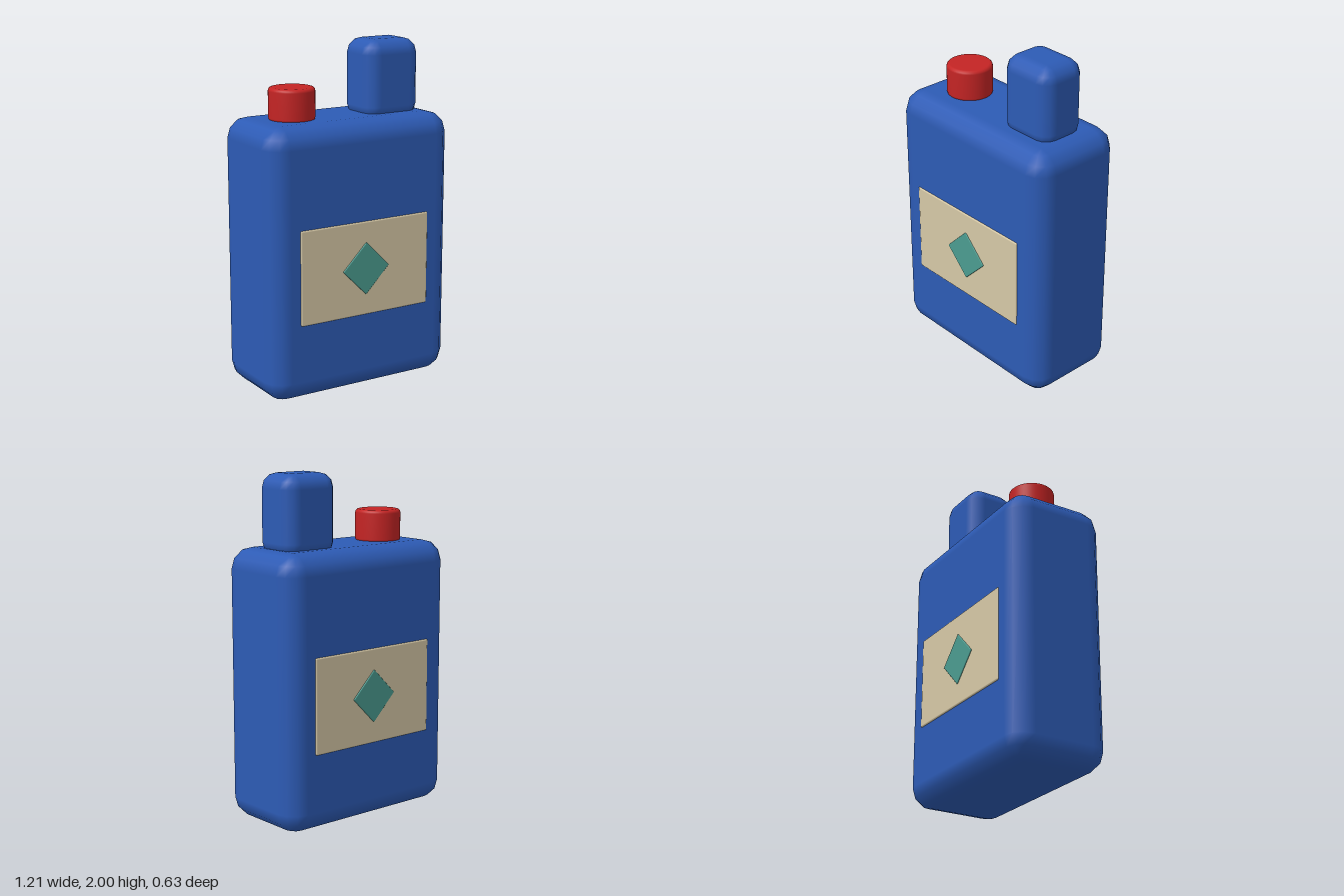
import * as THREE from 'three';

const mat = (name, color) => {
  const m = new THREE.MeshStandardMaterial({ color });
  m.name = name;
  return m;
};

// Smooth box with bevelled edges: eight sphere octants pushed out to the corners.
function bevelBox(w, h, d, r, seg = 3) {
  const n = seg + 1, cols = 4 * n, rows = 2 * n, quarter = Math.PI / 2;
  const pos = [], nor = [], idx = [];
  for (let j = 0; j < rows; j++) {
    const upper = j >= n;
    const lat = ((upper ? j - n : j - seg) / seg) * quarter;
    for (let i = 0; i < cols; i++) {
      const q = Math.floor(i / n);
      const a = (q + (i % n) / seg) * quarter;
      const mid = (q + 0.5) * quarter;
      const nx = Math.cos(lat) * Math.cos(a), ny = Math.sin(lat), nz = -Math.cos(lat) * Math.sin(a);
      pos.push(
        Math.sign(Math.cos(mid)) * (w / 2 - r) + nx * r,
        (upper ? 1 : -1) * (h / 2 - r) + ny * r,
        -Math.sign(Math.sin(mid)) * (d / 2 - r) + nz * r
      );
      nor.push(nx, ny, nz);
      if (j < rows - 1) {
        const k = (i + 1) % cols, A = j * cols + i, B = j * cols + k;
        idx.push(A, B, B + cols, A, B + cols, A + cols);
      }
    }
  }
  // flat top and bottom
  const t = (rows - 1) * cols;
  idx.push(t, t + n, t + 2 * n, t, t + 2 * n, t + 3 * n);
  idx.push(0, 2 * n, n, 0, 3 * n, 2 * n);
  const g = new THREE.BufferGeometry();
  g.setAttribute('position', new THREE.Float32BufferAttribute(pos, 3));
  g.setAttribute('normal', new THREE.Float32BufferAttribute(nor, 3));
  g.setIndex(idx);
  return g;
}

// Round cap with softened rims
function capGeometry(radius, height, r) {
  const pts = [new THREE.Vector2(0, 0)];
  for (let i = 0; i <= 3; i++) {
    const a = (i / 3) * Math.PI / 2;
    pts.push(new THREE.Vector2(radius - r + r * Math.sin(a), r - r * Math.cos(a)));
  }
  for (let i = 0; i <= 3; i++) {
    const a = (i / 3) * Math.PI / 2;
    pts.push(new THREE.Vector2(radius - r + r * Math.cos(a), height - r + r * Math.sin(a)));
  }
  pts.push(new THREE.Vector2(0, height));
  return new THREE.LatheGeometry(pts, 48);
}

export function createModel() {
  const group = new THREE.Group();
  group.name = 'flask';
  const blue = mat('blue', 0x2d5bb5);
  const red = mat('red', 0xc42424);
  const cream = mat('cream', 0xd6c8a6);
  const teal = mat('teal', 0x4b9c90);

  const add = (name, geometry, material, x, y, z) => {
    const m = new THREE.Mesh(geometry, material);
    m.name = name;
    m.position.set(x, y, z);
    group.add(m);
    return m;
  };

  add('body', bevelBox(1.206, 1.58, 0.604, 0.12), blue, 0, 0.79, 0);
  add('neck', bevelBox(0.36, 0.47, 0.3, 0.085), blue, 0.301, 1.765, 0);
  add('cap', capGeometry(0.133, 0.19, 0.02), red, -0.303, 1.57, 0);

  // label and diamond on both broad faces
  for (const [side, s] of [['front', 1], ['back', -1]]) {
    add(side + 'Label', bevelBox(0.856, 0.554, 0.024, 0.01), cream, 0, 0.731, s * 0.297);
    const diamond = add(side + 'Diamond', bevelBox(0.219, 0.219, 0.016, 0.006), teal, 0, 0.731, s * 0.307);
    diamond.rotation.z = Math.PI / 4;
  }
  return group;
}
